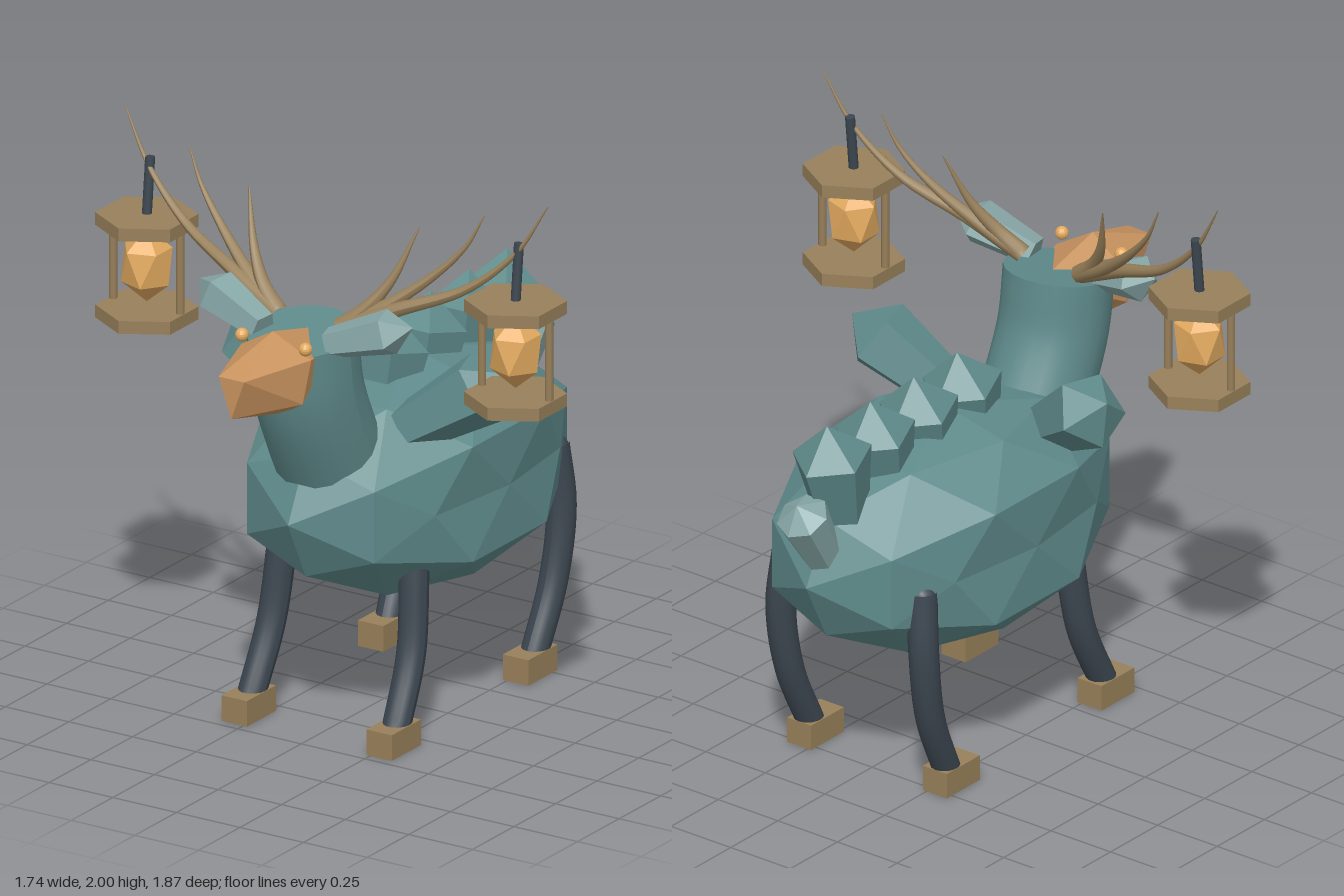
import * as THREE from 'three';
import { ConvexGeometry } from 'three/addons/geometries/ConvexGeometry.js';

const mat = (color, flatShading = true) => {
  const m = new THREE.MeshStandardMaterial({ flatShading });
  m.color.set(color);
  return m;
};
const TEAL = mat(0x5f8a8b), PALE = mat(0x86a5a5), WOOD = mat(0x98805a);
const TAN = mat(0xc8935f), GLOW = mat(0xe3aa5f);
const NECK = mat(0x5f8a8b, false), DARK = mat(0x3c4650, false), HORN = mat(0x98805a, false);
const V = (p) => new THREE.Vector3(...p);

function add(parent, name, geometry, material, pos = [0, 0, 0]) {
  const m = new THREE.Mesh(geometry, material);
  m.name = name;
  m.position.set(...pos);
  parent.add(m);
  return m;
}

// Tube along a smooth path, narrowing from r0 to r1
function taperTube(points, r0, r1, segs, sides) {
  const curve = new THREE.CatmullRomCurve3(points.map(V));
  const g = new THREE.TubeGeometry(curve, segs, 1, sides);
  const p = g.attributes.position, v = new THREE.Vector3();
  for (let i = 0; i < p.count; i++) {
    const t = Math.floor(i / (sides + 1)) / segs;
    const c = curve.getPointAt(t);
    v.fromBufferAttribute(p, i).sub(c).multiplyScalar(r0 + (r1 - r0) * t).add(c);
    p.setXYZ(i, v.x, v.y, v.z);
  }
  g.computeVertexNormals();
  return g;
}

// Prism widening from base, closed by a blunt point at the tip
function crystal(parent, name, base, tip, r, point, material, sides = 5) {
  const a = V(base), dir = V(tip).sub(a), len = dir.length(), shaft = len - point;
  const g = new THREE.Group();
  g.name = name;
  g.position.copy(a);
  g.quaternion.setFromUnitVectors(new THREE.Vector3(0, 1, 0), dir.normalize());
  add(g, name + 'Shaft', new THREE.CylinderGeometry(r, r * 0.68, shaft, sides, 1, false, Math.PI), material, [0, shaft / 2, 0]);
  add(g, name + 'Tip', new THREE.ConeGeometry(r, point, sides, 1, true, Math.PI), material, [0, shaft + point / 2, 0]);
  parent.add(g);
}

function bodyGeometry() {
  const g = new THREE.IcosahedronGeometry(1, 1), p = g.attributes.position;
  for (let i = 0; i < p.count; i++) {
    const x = p.getX(i), y = p.getY(i), z = p.getZ(i);
    // flattened flanks that close in towards both ends
    const limit = 0.405 - 0.22 * Math.max(0, Math.abs(z) - 0.31);
    p.setXYZ(i, Math.sign(x) * Math.min(0.5 * Math.abs(x), limit), 0.795 + 0.405 * y, -0.135 + 0.715 * z);
  }
  g.computeVertexNormals();
  return g;
}

function lantern(s) {
  const g = new THREE.Group();
  g.name = 'lantern';
  g.position.set(s * 0.725, 0, 0.32);
  for (const y of [1.312, 1.638])
    add(g, 'lanternPlate', new THREE.CylinderGeometry(0.17, 0.17, 0.045, 6), WOOD, [0, y, 0]);
  for (const x of [-0.132, 0.132])
    add(g, 'lanternPost', new THREE.CylinderGeometry(0.014, 0.014, 0.3, 8), HORN, [x, 1.475, 0]);
  const gem = new THREE.IcosahedronGeometry(1, 0);
  gem.rotateZ(Math.atan2(1, (1 + Math.sqrt(5)) / 2));
  gem.scale(0.095, 0.13, 0.095);
  add(g, 'lanternGem', gem, GLOW, [0, 1.48, 0]);
  const rod = add(g, 'lanternRod', new THREE.CylinderGeometry(0.017, 0.017, 0.21, 10), DARK, [0, 1.75, -0.01]);
  rod.rotation.x = -0.1;
  return g;
}

export function createModel() {
  const root = new THREE.Group();
  root.name = 'lanternDeer';

  add(root, 'body', bodyGeometry(), TEAL);

  // Neck with a closed top
  const neckPath = [[0, 0.75, 0.22], [0, 1.0, 0.35], [0, 1.25, 0.46], [0, 1.45, 0.49]];
  add(root, 'neck', taperTube(neckPath, 0.185, 0.185, 16, 20), NECK);
  const cap = add(root, 'neckTop', new THREE.CircleGeometry(0.185, 20), NECK, neckPath[3]);
  cap.rotation.x = -Math.PI / 2 + 0.14;

  // Faceted muzzle
  const head = [[0, 1.51, 0.67], [0, 1.28, 0.92], [0, 1.2, 0.6], [0, 1.455, 0.46]];
  for (const s of [-1, 1])
    head.push([s * 0.05, 1.42, 0.92], [s * 0.138, 1.43, 0.65], [s * 0.13, 1.285, 0.69], [s * 0.09, 1.4, 0.46]);
  add(root, 'head', new ConvexGeometry(head.map(V)), TAN);

  // Row of crystals on the back, then the tail
  for (const z of [-0.02, -0.25, -0.48, -0.71])
    crystal(root, 'backCrystal', [0, 0.98, z + 0.05], [0, 1.35, z - 0.03], 0.138, 0.12, TEAL);
  crystal(root, 'tail', [0, 0.82, -0.72], [0, 1.12, -0.9], 0.09, 0.06, PALE, 7);

  for (const s of [-1, 1]) {
    add(root, 'eye', new THREE.SphereGeometry(0.023, 14, 10), GLOW, [s * 0.125, 1.47, 0.665]);
    crystal(root, 'ear', [s * 0.13, 1.45, 0.53], [s * 0.42, 1.545, 0.47], 0.08, 0.09, PALE);
    crystal(root, 'shoulderCrystal', [s * 0.2, 1.05, 0.17], [s * 0.535, 1.28, 0.07], 0.13, 0.11, TEAL);

    // Antler tines fanning out from one root
    const tines = [
      [[0.12, 1.48, 0.45], [0.32, 1.57, 0.41], [0.55, 1.67, 0.35], [0.72, 1.82, 0.31], [0.83, 2.0, 0.285]],
      [[0.12, 1.48, 0.45], [0.27, 1.57, 0.4], [0.42, 1.69, 0.34], [0.52, 1.8, 0.305], [0.58, 1.915, 0.285]],
      [[0.12, 1.48, 0.45], [0.2, 1.55, 0.42], [0.27, 1.65, 0.37], [0.335, 1.83, 0.3]],
    ];
    for (const t of tines)
      add(root, 'antlerTine', taperTube(t.map(([x, y, z]) => [s * x, y, z]), 0.032, 0.002, 24, 10), HORN);
    root.add(lantern(s));

    // Legs and hooves
    const legs = {
      frontLeg: [[0.25, 0.72, 0.2], [0.26, 0.55, 0.22], [0.275, 0.3, 0.26], [0.285, 0.06, 0.37]],
      hindLeg: [[0.28, 0.77, -0.59], [0.3, 0.55, -0.605], [0.295, 0.3, -0.565], [0.285, 0.06, -0.46]],
    };
    for (const [name, path] of Object.entries(legs)) {
      add(root, name, taperTube(path.map(([x, y, z]) => [s * x, y, z]), 0.052, 0.048, 20, 14), DARK);
      const top = path[0];
      add(root, name + 'Top', new THREE.SphereGeometry(0.052, 14, 10), DARK, [s * top[0], top[1] - 0.02, top[2]]);
      add(root, name + 'Hoof', new THREE.BoxGeometry(0.1, 0.09, 0.175), WOOD, [s * 0.285, 0.045, name === 'frontLeg' ? 0.38 : -0.44]);
    }
  }
  return root;
}
